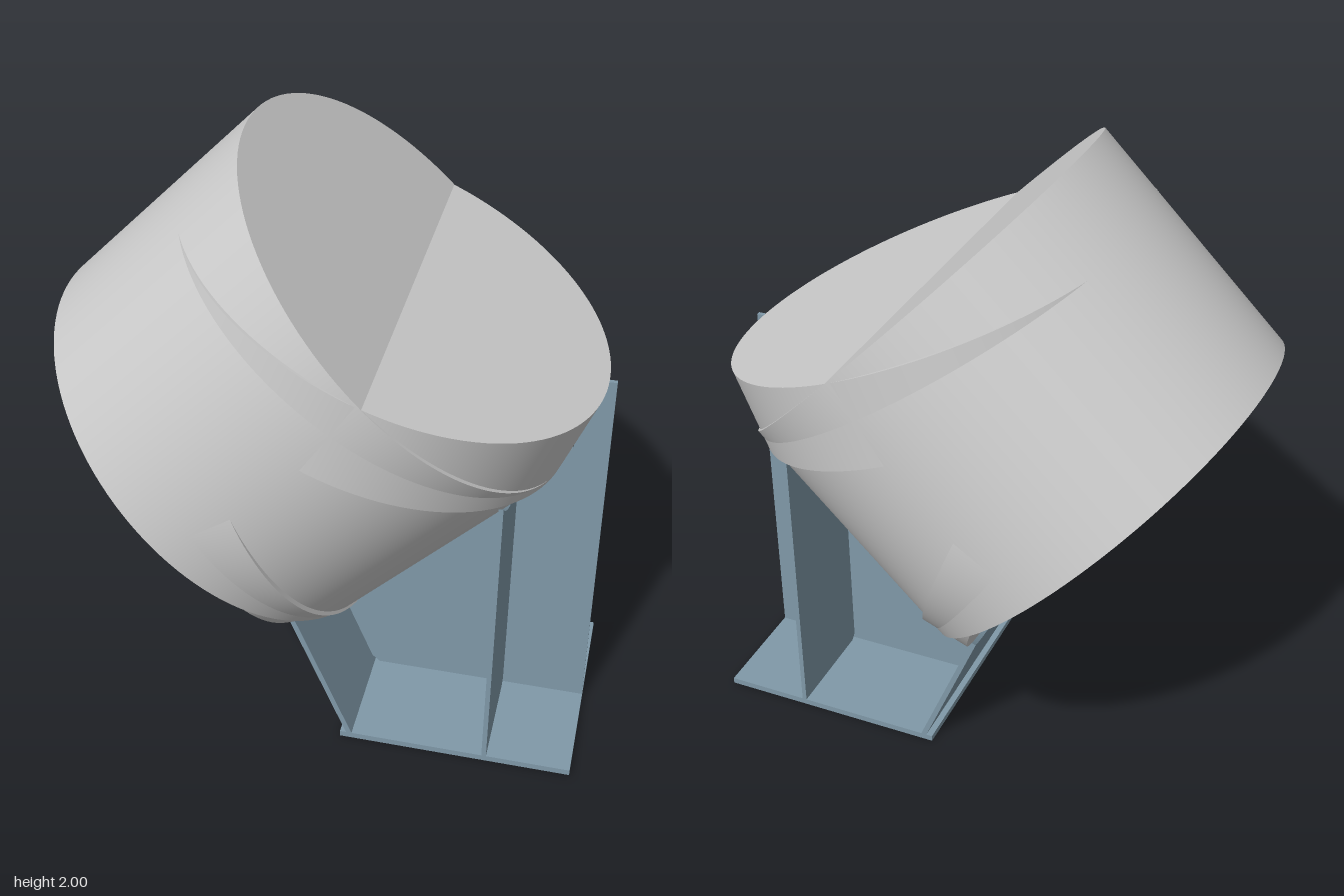
import * as THREE from 'three';

const R = 0.69;
const rad = THREE.MathUtils.degToRad;

export function createModel() {
  const model = new THREE.Group();
  const grey = new THREE.MeshStandardMaterial({ color: 0xcccccc });
  const steel = new THREE.MeshStandardMaterial({ color: 0x8099a8 });

  const add = (name, geometry, material) => {
    const mesh = new THREE.Mesh(geometry, material);
    mesh.name = name;
    model.add(mesh);
    return mesh;
  };

  // Solid pipe section: starts at (x, y), axis leaning deg from vertical towards +x
  const section = (name, x, y, deg, length) => {
    const g = new THREE.CylinderGeometry(R, R, length, 128);
    g.translate(0, length / 2, 0);
    const mesh = add(name, g, grey);
    mesh.position.set(x, y, 0);
    mesh.rotation.z = -rad(deg);
  };

  // Mitred elbow: three overlapping sections in 22.5 degree steps
  section('elbowMiddle', -0.362, 0.923, 45, 0.834);
  section('elbowUpperEnd', 0.08, 1.285, 22.5, 0.27);
  section('elbowLowerEnd', -0.284, 1.007, 67.5, 0.157);

  // Cross plate: shape x runs along z, shape y leans back by tilt, thickness goes towards -x
  const crossPlate = (name, shape, depth, x, y, tilt) => {
    const g = new THREE.ExtrudeGeometry(shape, { depth, bevelEnabled: false });
    const s = Math.sin(rad(tilt)), c = Math.cos(rad(tilt));
    g.applyMatrix4(new THREE.Matrix4().makeBasis(
      new THREE.Vector3(0, 0, 1),
      new THREE.Vector3(-s, c, 0),
      new THREE.Vector3(-c, -s, 0)
    ));
    add(name, g, steel).position.set(x, y, 0);
  };

  // Base plate
  add('basePlate', new THREE.BoxGeometry(0.757, 0.02, 0.736), steel).position.set(0.4675, 0.01, 0);

  // Central web, with round relief notches at the two mitre corners
  const web = new THREE.Shape();
  web.moveTo(0.145, 0.02);
  web.lineTo(0.115, 0.045);
  web.lineTo(-0.02, 0.372);
  web.absarc(0.125, 0.434, 0.02, rad(202.5), rad(405), false);
  web.absarc(0.716, 1.025, 0.02, rad(225), rad(427.5), false);
  web.lineTo(0.82, 1.27);
  web.lineTo(0.845, 1.27);
  web.lineTo(0.845, 0.02);
  const webGeometry = new THREE.ExtrudeGeometry(web, { depth: 0.014, bevelEnabled: false });
  webGeometry.translate(0, 0, -0.007);
  add('webPlate', webGeometry, steel);

  // Upright ribs either side of the web, tops cut to the pipe, inner corners snipped
  const W = 0.368, snip = 0.025, steps = 16;
  for (const side of [1, -1]) {
    const top = (u) => 0.56 + 1.285 - 0.02 - Math.SQRT2 * Math.sqrt(R * R - u * u);
    const rib = new THREE.Shape();
    rib.moveTo(side * snip, 0);
    rib.lineTo(side * W, 0);
    for (let i = 0; i <= steps; i++) {
      const u = W + (snip - W) * i / steps;
      rib.lineTo(side * u, top(u));
    }
    rib.lineTo(0, top(0) - 0.015);
    rib.lineTo(0, snip);
    crossPlate(side > 0 ? 'ribLeft' : 'ribRight', rib, 0.015, 0.575, 0.02, 0);
  }

  // Leaning saddle plate under the lower end, with a circular cut-out
  const saddle = new THREE.Shape();
  saddle.moveTo(-W, 0);
  saddle.lineTo(W, 0);
  for (let i = 0; i <= 2 * steps; i++) {
    const u = W - W * i / steps;
    saddle.lineTo(u, 1.068 - Math.sqrt(R * R - u * u));
  }
  crossPlate('saddlePlate', saddle, 0.017, 0.128, 0.02, 22.5);

  return model;
}
